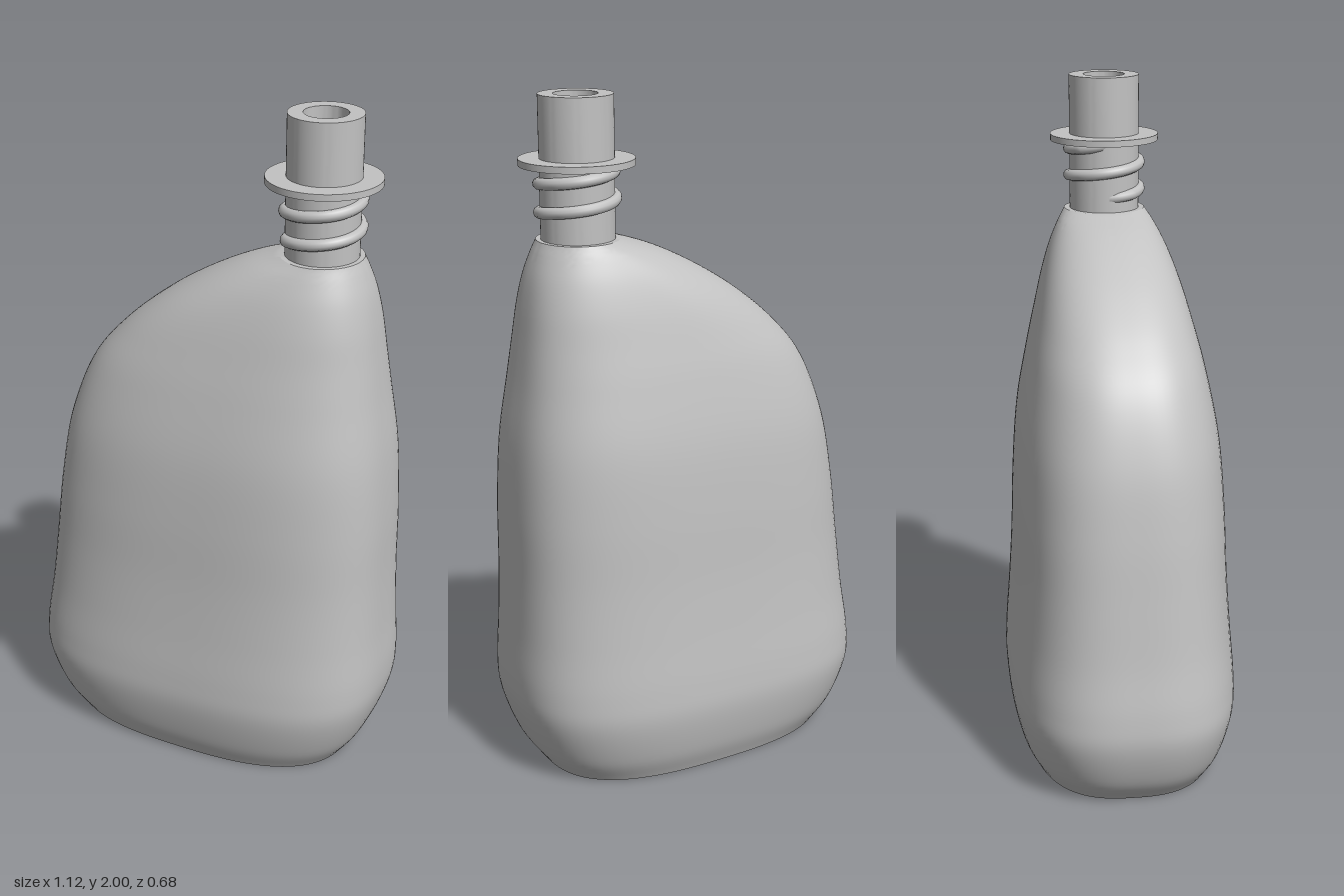
import * as THREE from 'three';
import { toCreasedNormals } from 'three/addons/utils/BufferGeometryUtils.js';

const plastic = new THREE.MeshStandardMaterial({ color: 0xc2c2c2 });
plastic.name = 'grey plastic';

// Body cross-sections: height, left edge, right edge, half depth, roundness exponent
const SECTIONS = [
  [0, -0.465, 0.455, 0.28, 2.7],
  [0.08, -0.522, 0.507, 0.313, 2.8],
  [0.2, -0.561, 0.549, 0.338, 2.9],
  [0.3, -0.56, 0.559, 0.338, 2.9],
  [0.45, -0.536, 0.552, 0.326, 2.9],
  [0.62, -0.515, 0.547, 0.315, 2.9],
  [0.82, -0.49, 0.545, 0.307, 2.9],
  [1.02, -0.452, 0.534, 0.291, 2.9],
  [1.2, -0.383, 0.511, 0.258, 2.8],
  [1.32, -0.285, 0.496, 0.23, 2.7],
  [1.42, -0.165, 0.483, 0.204, 2.6],
  [1.5, -0.04, 0.468, 0.177, 2.4],
  [1.56, 0.08, 0.449, 0.148, 2.2],
  [1.6, 0.195, 0.432, 0.122, 2],
];

// Smooth loft of superellipses, closed by flat fans at both ends
function bodyGeometry(rows = 80, segs = 96) {
  const edges = new THREE.CatmullRomCurve3(
    SECTIONS.map(([y, l, r]) => new THREE.Vector3(l, y, r)), false, 'catmullrom');
  const depths = new THREE.CatmullRomCurve3(
    SECTIONS.map(([y, , , d, n]) => new THREE.Vector3(d, y, n)), false, 'catmullrom');
  const pos = [], index = [];
  for (let i = 0; i <= rows; i++) {
    const e = edges.getPoint(i / rows), d = depths.getPoint(i / rows);
    const mid = (e.x + e.z) / 2, half = (e.z - e.x) / 2, n = d.z;
    for (let j = 0; j < segs; j++) {
      const a = (j / segs) * Math.PI * 2, c = Math.cos(a), s = Math.sin(a);
      const k = Math.pow(Math.abs(c) ** n + Math.abs(s) ** n, -1 / n);
      pos.push(mid + half * k * c, e.y, d.x * k * s);
    }
  }
  const base = pos.length / 3, top = base + 1, last = rows * segs;
  pos.push(0, 0, 0, 0.313, 1.6, 0);
  for (let j = 0; j < segs; j++) {
    const j2 = (j + 1) % segs;
    for (let i = 0; i < rows; i++) {
      const a = i * segs + j, b = i * segs + j2;
      index.push(a, a + segs, b, b, a + segs, b + segs);
    }
    index.push(base, j, j2, top, last + j2, last + j);
  }
  const geo = new THREE.BufferGeometry();
  geo.setAttribute('position', new THREE.Float32BufferAttribute(pos, 3));
  geo.setIndex(index);
  return toCreasedNormals(geo, 0.38);
}

// Screw thread: a tube on a rising spiral, with its ends sunk into the neck
class ThreadCurve extends THREE.Curve {
  getPoint(t, target = new THREE.Vector3()) {
    const a = -Math.PI / 2 + t * Math.PI * 4;
    const r = 0.107 - 0.02 * Math.max(0, 1 - Math.min(t, 1 - t) / 0.06);
    return target.set(r * Math.sin(a), 1.64 + 0.16 * t, r * Math.cos(a));
  }
}

export function createModel() {
  const model = new THREE.Group();
  model.name = 'bottle';
  const add = (parent, name, geo) => {
    const mesh = new THREE.Mesh(geo, plastic);
    mesh.name = name;
    parent.add(mesh);
  };
  add(model, 'body', bodyGeometry());

  const neck = new THREE.Group();
  neck.name = 'neck';
  neck.position.x = 0.313;
  model.add(neck);

  // Hollow spout with its collar, turned as one profile
  const profile = [
    [0.105, 1.59], [0.105, 1.806], [0.163, 1.806], [0.163, 1.825],
    [0.105, 1.825], [0.105, 2], [0.062, 2], [0.062, 1.59],
  ].map(([x, y]) => new THREE.Vector2(x, y));
  add(neck, 'spout', toCreasedNormals(new THREE.LatheGeometry(profile, 64), 0.6));
  add(neck, 'screwThread', new THREE.TubeGeometry(new ThreadCurve(), 160, 0.017, 10));
  return model;
}
